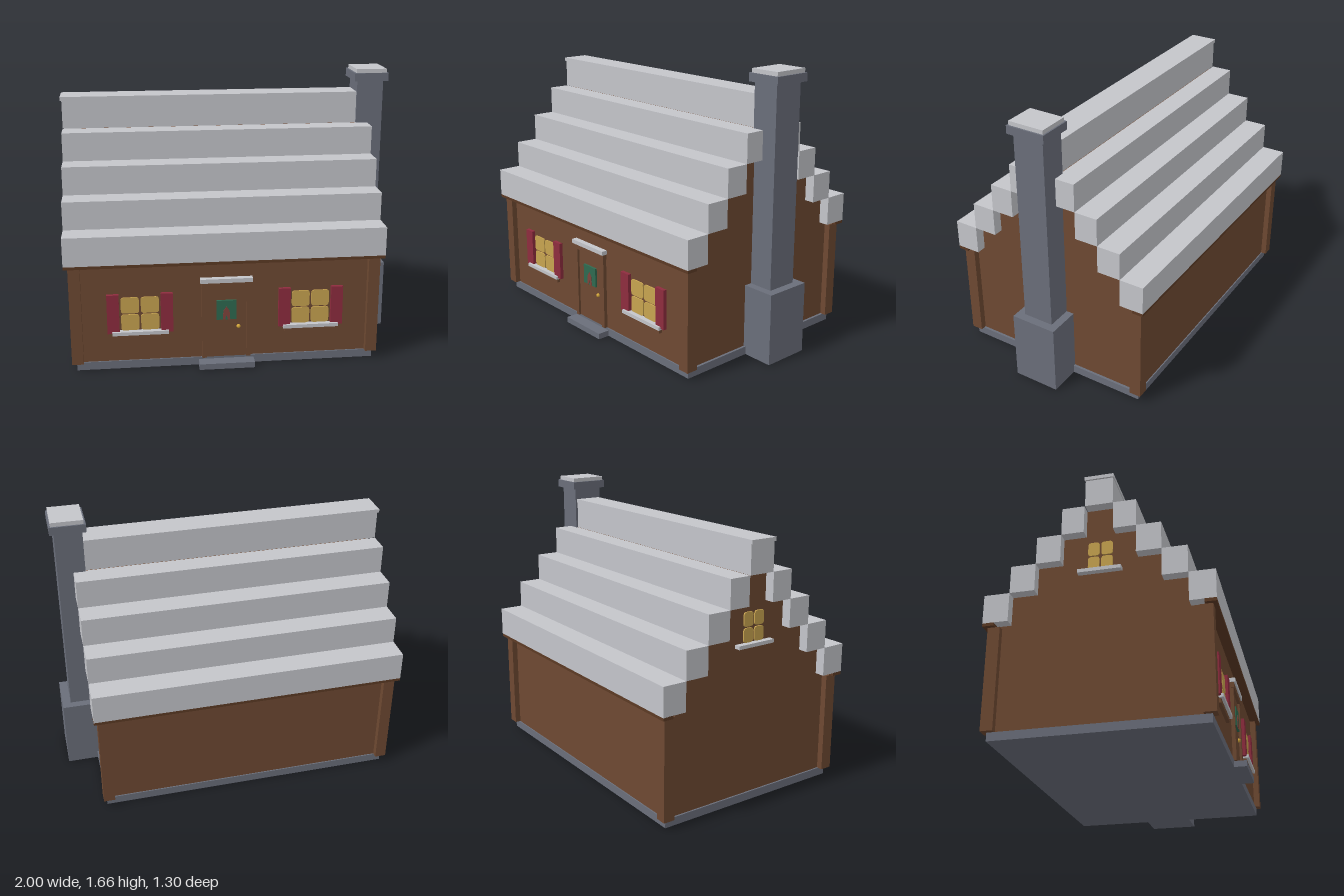
import * as THREE from 'three';

const mat = (name, color) => {
  const m = new THREE.MeshStandardMaterial({ color });
  m.name = name;
  return m;
};

export function createModel() {
  const wood = mat('brown wood', 0x6e4932);
  const darkWood = mat('dark wood', 0x5c3a24);
  const stone = mat('grey stone', 0x6a6e7a);
  const slate = mat('pale roof', 0xc4c5ca);
  const red = mat('red shutter', 0x8e2c3e);
  const glass = mat('lit glass', 0xc8a450);
  const green = mat('green wreath', 0x2f6a50);
  const bowRed = mat('bow red', 0x80443c);
  const gold = mat('gold knob', 0xd8aa3c);

  const house = new THREE.Group();
  house.name = 'cottage';
  const ZC = -0.0125; // centre line of the building

  // Box given by its limits on each axis
  function box(parent, name, m, x0, x1, y0, y1, z0, z1) {
    const mesh = new THREE.Mesh(new THREE.BoxGeometry(x1 - x0, y1 - y0, z1 - z0), m);
    mesh.position.set((x0 + x1) / 2, (y0 + y1) / 2, (z0 + z1) / 2);
    mesh.name = name;
    parent.add(mesh);
    return mesh;
  }

  // Foundation and doorstep
  box(house, 'foundation', stone, -0.94, 0.81, 0, 0.048, -0.602, 0.578);
  box(house, 'doorstep', stone, -0.23, 0.095, 0, 0.035, 0.5, 0.65);

  // Walls with stepped gables
  const half = [0.64, 0.495, 0.353, 0.2125, 0.083];
  const level = [0.66, 0.83, 0.995, 1.162, 1.33, 1.5];
  const pts = [[0.5825, 0.046], [0.5825, level[0]]];
  for (let i = 1; i < 5; i++) pts.push([half[i], level[i - 1]], [half[i], level[i]]);
  const outline = [...pts, ...pts.slice().reverse().map(([a, b]) => [-a, b])];
  const wallShape = new THREE.Shape(outline.map(([a, b]) => new THREE.Vector2(a, b)));
  const wallGeo = new THREE.ExtrudeGeometry(wallShape, { depth: 1.725, bevelEnabled: false });
  wallGeo.rotateY(Math.PI / 2);
  const walls = new THREE.Mesh(wallGeo, wood);
  walls.position.set(-0.93, 0, ZC);
  walls.name = 'walls';
  house.add(walls);

  // Corner posts and eave beams
  for (const s of [-1, 1]) {
    const zs = [ZC + s * 0.547, ZC + s * 0.6165].sort((a, b) => a - b);
    box(house, 'cornerPost', wood, -0.967, -0.9, 0.048, 0.642, ...zs);
    box(house, 'cornerPost', wood, 0.765, 0.832, 0.048, 0.642, ...zs);
    const es = [ZC + s * 0.575, ZC + s * 0.639].sort((a, b) => a - b);
    box(house, 'eaveBeam', darkWood, -0.99, 0.855, 0.642, 0.661, ...es);
  }

  // Stepped roof courses, mirrored front to back
  for (let i = 0; i < 4; i++) {
    for (const s of [-1, 1]) {
      const zs = [ZC + s * half[i], ZC + s * half[i + 1]].sort((a, b) => a - b);
      box(house, 'roofCourse', slate, -0.99, 0.855, level[i], level[i + 1], ...zs);
    }
  }
  box(house, 'ridge', slate, -0.99, 0.79, 1.33, 1.5, ZC - 0.08, ZC + 0.08);
  box(house, 'ridgeCap', slate, -1, 0.79, 1.498, 1.52, ZC - 0.084, ZC + 0.084);

  // Chimney
  box(house, 'chimneyBase', stone, 0.79, 0.995, 0, 0.425, ZC - 0.141, ZC + 0.141);
  box(house, 'chimneyShaft', stone, 0.785, 0.945, 0.42, 1.59, ZC - 0.094, ZC + 0.094);
  box(house, 'chimneyCollar', stone, 0.763, 0.97, 1.588, 1.636, ZC - 0.118, ZC + 0.118);
  box(house, 'chimneyTop', slate, 0.775, 0.96, 1.634, 1.66, ZC - 0.109, ZC + 0.109);

  // Rounded window pane as a thin plate
  function paneGeometry(w, h, r) {
    const a = w / 2, b = h / 2;
    const s = new THREE.Shape();
    s.moveTo(-a + r, -b);
    s.lineTo(a - r, -b); s.quadraticCurveTo(a, -b, a, -b + r);
    s.lineTo(a, b - r); s.quadraticCurveTo(a, b, a - r, b);
    s.lineTo(-a + r, b); s.quadraticCurveTo(-a, b, -a, b - r);
    s.lineTo(-a, -b + r); s.quadraticCurveTo(-a, -b, -a + r, -b);
    return new THREE.ExtrudeGeometry(s, { depth: 0.008, bevelEnabled: false, curveSegments: 4 });
  }

  // Four-pane window facing +z, origin at its centre on the wall
  function makeWindow(name, w, h) {
    const g = new THREE.Group();
    g.name = name;
    const pw = w / 2 - 0.01, ph = h / 2 - 0.008;
    const geo = paneGeometry(pw, ph, 0.018);
    for (const sx of [-1, 1]) {
      for (const sy of [-1, 1]) {
        const pane = new THREE.Mesh(geo, glass);
        pane.position.set(sx * w / 4, sy * h / 4, 0);
        pane.name = 'pane';
        g.add(pane);
      }
    }
    box(g, 'sill', slate, -w / 2 - 0.048, w / 2 + 0.048, -h / 2 - 0.018, -h / 2 + 0.003, -0.01, 0.035);
    house.add(g);
    return g;
  }

  // Front windows with shutters
  for (const x of [-0.567, 0.43]) {
    const g = makeWindow('frontWindow', 0.23, 0.21);
    g.position.set(x, 0.341, 0.57);
    for (const s of [-1, 1]) {
      box(g, 'shutter', red, s * 0.155 - 0.035, s * 0.155 + 0.035, -0.114, 0.124, -0.01, 0.022);
    }
    box(g, 'sillBracket', wood, -0.15, 0.15, -0.149, -0.123, -0.01, 0.02);
  }

  // Small gable window
  const gable = makeWindow('gableWindow', 0.15, 0.18);
  gable.rotation.y = -Math.PI / 2;
  gable.position.set(-0.93, 1.03, ZC);

  // Door with frame, hood, wreath and knob
  const door = new THREE.Group();
  door.name = 'door';
  door.position.set(-0.067, 0, 0.57);
  house.add(door);
  box(door, 'doorPanel', wood, -0.12, 0.12, 0.048, 0.49, -0.01, 0.008);
  for (const s of [-1, 1]) {
    box(door, 'doorJamb', wood, s * 0.13 - 0.013, s * 0.13 + 0.013, 0.048, 0.49, -0.01, 0.022);
  }
  box(door, 'lintel', wood, -0.146, 0.146, 0.488, 0.522, -0.01, 0.026);
  box(door, 'doorHood', slate, -0.152, 0.152, 0.52, 0.545, -0.01, 0.035);
  box(door, 'wreath', green, -0.058, 0.058, 0.286, 0.405, 0, 0.02);
  const bow = new THREE.Shape([[-0.022, 0], [-0.008, 0], [0, 0.03], [0.008, 0], [0.022, 0],
    [0.018, 0.055], [0, 0.082], [-0.018, 0.055]].map(([a, b]) => new THREE.Vector2(a, b)));
  const bowMesh = new THREE.Mesh(new THREE.ExtrudeGeometry(bow, { depth: 0.004, bevelEnabled: false }), bowRed);
  bowMesh.position.set(0, 0.287, 0.019);
  bowMesh.name = 'bow';
  door.add(bowMesh);
  const knob = new THREE.Mesh(new THREE.SphereGeometry(0.012, 10, 8), gold);
  knob.position.set(0.072, 0.238, 0.012);
  knob.name = 'knob';
  door.add(knob);

  return house;
}
